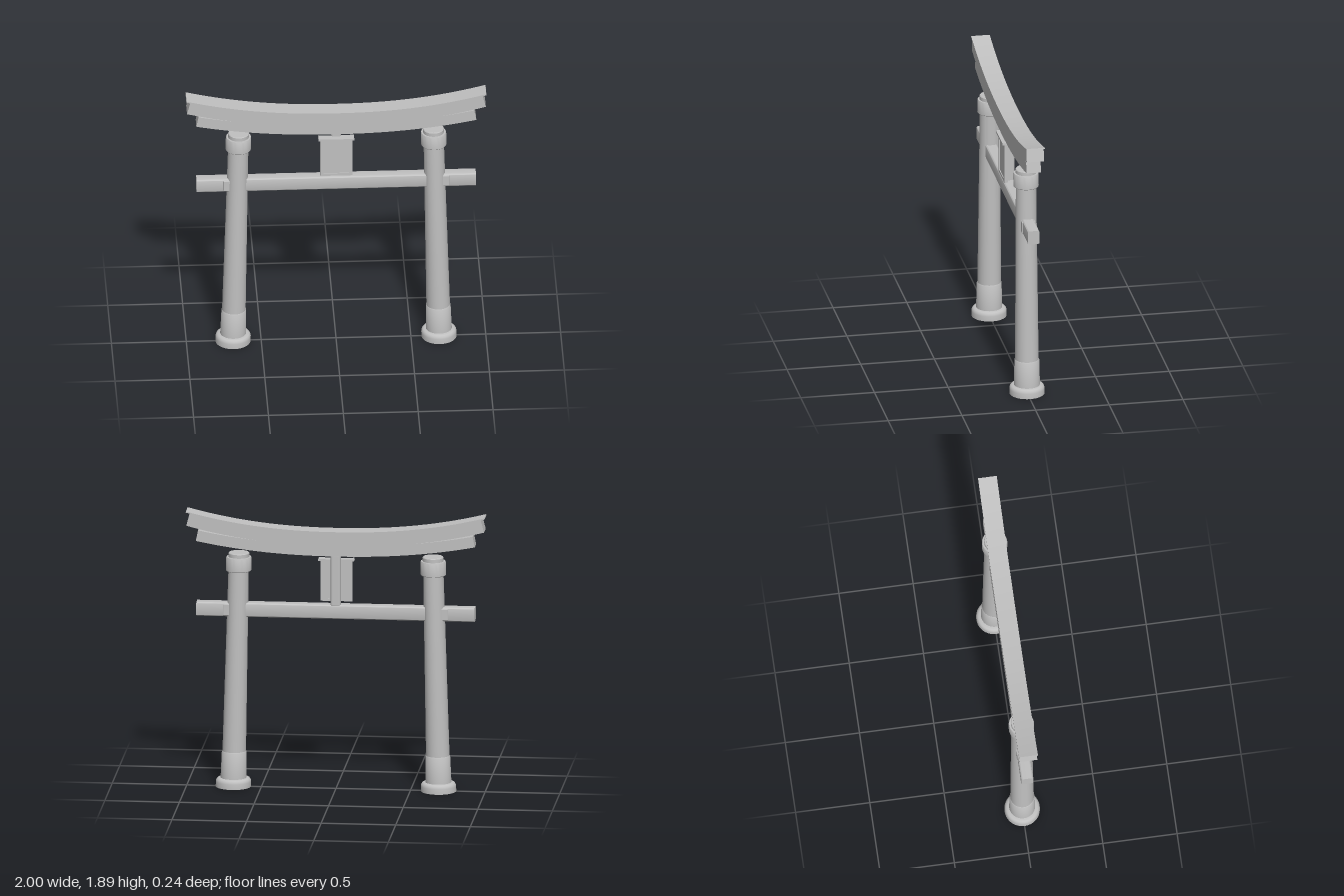
import * as THREE from 'three';
import { toCreasedNormals } from 'three/addons/utils/BufferGeometryUtils.js';
import { RoundedBoxGeometry } from 'three/addons/geometries/RoundedBoxGeometry.js';

const stone = new THREE.MeshStandardMaterial({ color: 0xc0c0c0 });
stone.name = 'grey stone';

function part(parent, name, geometry, x = 0, y = 0, z = 0) {
  const mesh = new THREE.Mesh(geometry, stone);
  mesh.name = name;
  mesh.position.set(x, y, z);
  parent.add(mesh);
  return mesh;
}

// Upswept beam: the underside follows y0 + rise * |x|^2.2, thickness is measured square to the curve
function sweptBeam(half, y0, rise, thick, depth, inner = 0) {
  const low = [], high = [], n = 40;
  for (let i = 0; i <= n; i++) {
    const x = half * (2 * i / n - 1);
    const y = y0 + rise * Math.abs(x) ** 2.2;
    const slope = Math.sign(x) * 2.2 * rise * Math.abs(x) ** 1.2;
    const normal = new THREE.Vector2(-slope, 1).normalize();
    const at = (d) => new THREE.Vector2(x + normal.x * d, y + normal.y * d);
    low.push(at(inner));
    high.unshift(at(inner + thick));
  }
  const shape = new THREE.Shape([...low, ...high]);
  const g = new THREE.ExtrudeGeometry(shape, { depth, bevelEnabled: false });
  g.translate(0, 0, -depth / 2);
  return toCreasedNormals(g, 0.5);
}

// Rectangular outline, used for the plaque frame and its opening
function rect(Type, w, h) {
  const p = new Type();
  p.moveTo(-w / 2, -h / 2);
  p.lineTo(w / 2, -h / 2);
  p.lineTo(w / 2, h / 2);
  p.lineTo(-w / 2, h / 2);
  p.closePath();
  return p;
}

// Turned post section, sheared so that the post leans inward
function leaning(profile, side) {
  const g = new THREE.LatheGeometry(profile.map(([r, y]) => new THREE.Vector2(r, y)), 40);
  const p = g.attributes.position;
  for (let i = 0; i < p.count; i++) {
    p.setX(i, p.getX(i) + side * (0.688 - 0.0235 * p.getY(i)));
  }
  return toCreasedNormals(g, 0.6);
}

export function createModel() {
  const gate = new THREE.Group();
  gate.name = 'gate';

  // Pillars with foot, sleeve, collar and cap
  for (const side of [-1, 1]) {
    const pillar = new THREE.Group();
    pillar.name = side > 0 ? 'leftPillar' : 'rightPillar';
    gate.add(pillar);
    part(pillar, 'foot', leaning([
      [0, 0], [0.118, 0], [0.118, 0.035], [0.115, 0.048], [0.107, 0.058], [0.096, 0.062], [0, 0.062],
    ], side));
    part(pillar, 'sleeve', leaning([
      [0, 0.06], [0.087, 0.06], [0.083, 0.238], [0.078, 0.246], [0, 0.246],
    ], side));
    part(pillar, 'shaft', leaning([[0.079, 0.24], [0.068, 1.49]], side));
    part(pillar, 'collar', leaning([
      [0, 1.48], [0.082, 1.48], [0.085, 1.484], [0.085, 1.57], [0.082, 1.576], [0, 1.576],
    ], side));
    part(pillar, 'cap', leaning([
      [0.07, 1.57], [0.07, 1.6], [0.066, 1.605], [0, 1.605],
    ], side));
    // Wedge block where the tie beam leaves the pillar
    part(pillar, 'wedge', new RoundedBoxGeometry(0.06, 0.08, 0.092, 2, 0.006), side * 0.725, 1.218, 0);
  }

  // Straight tie beam with softened long edges
  const w = 0.04, h = 0.0475, r = 0.012;
  const section = new THREE.Shape();
  section.absarc(w - r, h - r, r, 0, Math.PI / 2);
  section.absarc(-w + r, h - r, r, Math.PI / 2, Math.PI);
  section.absarc(-w + r, -h + r, r, Math.PI, Math.PI * 1.5);
  section.absarc(w - r, -h + r, r, Math.PI * 1.5, Math.PI * 2);
  section.closePath();
  const tie = new THREE.ExtrudeGeometry(section, { depth: 1.866, bevelEnabled: false, curveSegments: 5 });
  tie.translate(0, 0, -0.933).rotateY(Math.PI / 2);
  part(gate, 'tieBeam', toCreasedNormals(tie, 0.6), 0, 1.2175, 0);

  // Two stacked curved lintels and the thin top board
  part(gate, 'lowerLintel', sweptBeam(0.935, 1.602, 0.098, 0.074, 0.098));
  part(gate, 'upperLintel', sweptBeam(0.998, 1.674, 0.118, 0.09, 0.118));
  part(gate, 'topBoard', sweptBeam(1.025, 1.674, 0.115, 0.008, 0.126, 0.09));

  // Centre strut and the framed plaque in front of it
  part(gate, 'strut', new RoundedBoxGeometry(0.066, 0.36, 0.06, 3, 0.014), 0, 1.432, -0.01);
  const plaque = new THREE.Group();
  plaque.name = 'plaque';
  plaque.position.set(0, 1.418, 0.02);
  gate.add(plaque);
  const outline = rect(THREE.Shape, 0.214, 0.276);
  outline.holes.push(rect(THREE.Path, 0.17, 0.24));
  part(plaque, 'frame', new THREE.ExtrudeGeometry(outline, { depth: 0.025, bevelEnabled: false }));
  part(plaque, 'panel', new THREE.BoxGeometry(0.18, 0.25, 0.018), 0, 0, 0.01);
  part(plaque, 'lid', sweptBeam(0.12, 0, 0.3, 0.014, 0.055), 0, 0.136, 0.012);

  return gate;
}
